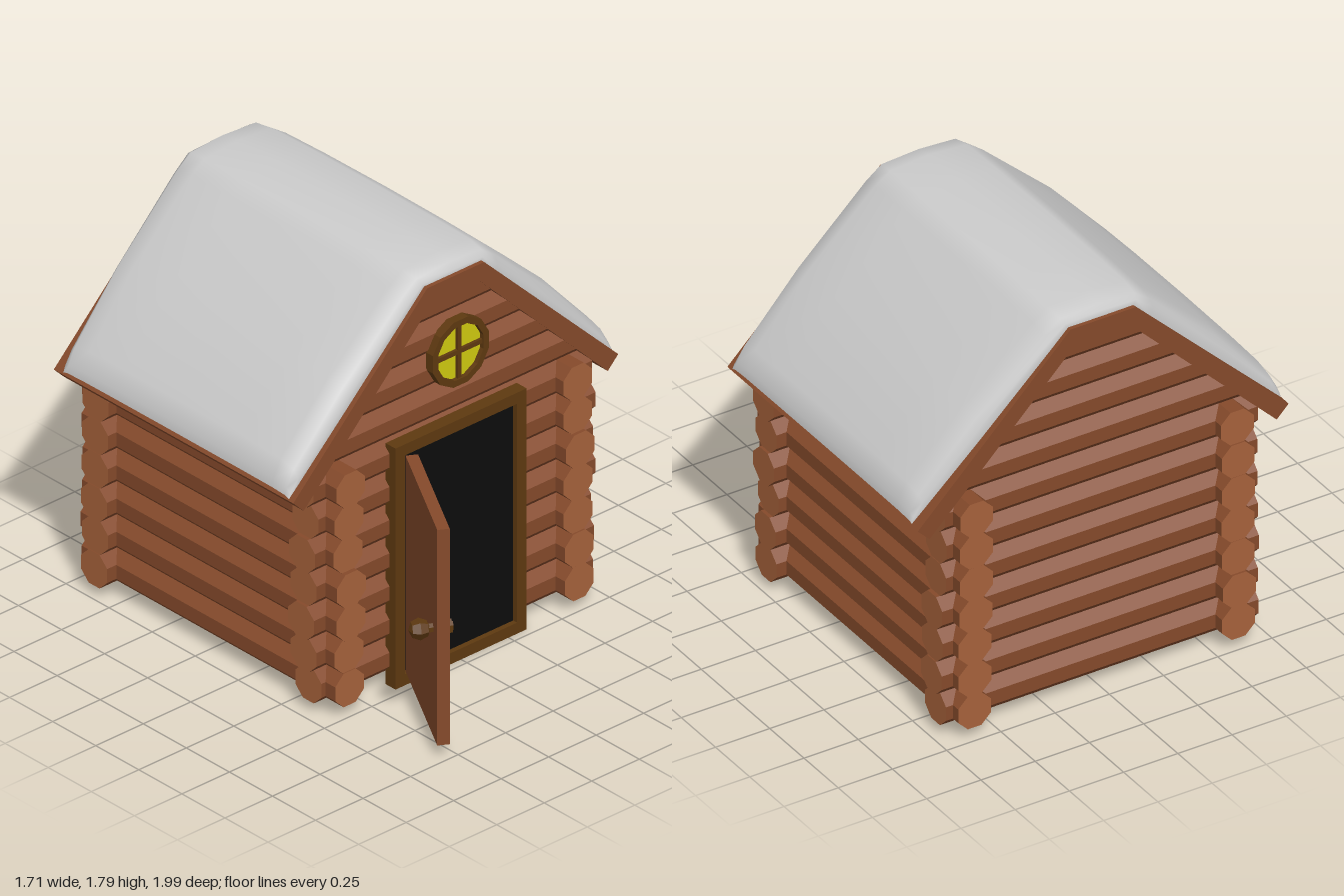
import * as THREE from 'three';

const mat = (color, extra = {}) => new THREE.MeshStandardMaterial({ color, ...extra });
const wood = mat(0x854a2b, { flatShading: true });
const endGrain = mat(0xa6623b, { flatShading: true });
const darkWood = mat(0x5e3910, { flatShading: true });
const black = mat(0x0d0d0d);
const glass = mat(0xd0ca10);
const snowMat = mat(0xcccccc, { side: THREE.DoubleSide });

const LOG_R = 0.082, FRONT_Z = 0.355, BACK_Z = -0.86, SIDE_X = 0.605;

function add(parent, name, geo, material, x = 0, y = 0, z = 0) {
  const m = new THREE.Mesh(geo, material);
  m.name = name;
  m.position.set(x, y, z);
  parent.add(m);
  return m;
}

const box = (w, h, d) => new THREE.BoxGeometry(w, h, d);

// Octagonal log with a flat face up, lying along x
function logGeometry(length) {
  return new THREE.CylinderGeometry(LOG_R, LOG_R, length, 8).rotateY(Math.PI / 8).rotateZ(Math.PI / 2);
}

// Repeatable small variation in log length
let seed = 7;
function jitter(amount) {
  seed = (seed * 16807) % 2147483647;
  return (seed / 2147483647 - 0.5) * 2 * amount;
}

function polygon(points) {
  return new THREE.Shape(points.map(([x, y]) => new THREE.Vector2(x, y)));
}

function extrude(shape, depth) {
  return new THREE.ExtrudeGeometry(shape, { depth, bevelEnabled: false, curveSegments: 6 });
}

function createWalls() {
  const g = new THREE.Group();
  g.name = 'logWalls';
  const mats = [wood, endGrain, endGrain];
  for (let row = 0; row < 7; row++) {
    const y = 0.12 + row * 0.15;
    for (const z of [FRONT_Z, BACK_Z]) {
      add(g, 'crossLog', logGeometry(1.45 + jitter(0.02)), mats, jitter(0.014), y, z);
    }
    for (const s of [-1, 1]) {
      const side = logGeometry(1.465 + jitter(0.015)).rotateY(Math.PI / 2);
      add(g, 'sideLog', side, mats, s * SIDE_X, y, -0.25 + jitter(0.01));
    }
  }
  // Gable logs, their ends cut along the roof slope
  for (let row = 0; row < 4; row++) {
    const y = 1.17 + row * 0.15;
    const geo = logGeometry(2);
    const p = geo.attributes.position;
    for (let i = 0; i < p.count; i++) {
      p.setX(i, Math.sign(p.getX(i)) * (1.795 - y - p.getY(i)));
    }
    for (const z of [FRONT_Z, BACK_Z]) add(g, 'gableLog', geo, wood, 0, y, z);
  }
  return g;
}

function createRoof() {
  const g = new THREE.Group();
  g.name = 'roof';
  const shape = polygon([
    [-0.855, 1.03], [-0.8, 0.975], [-0.125, 1.65], [0.125, 1.65],
    [0.8, 0.975], [0.855, 1.03], [0.15, 1.725], [-0.15, 1.725],
  ]);
  add(g, 'roofBoards', extrude(shape, 1.39), wood, 0, 0, -0.955);

  // Snow blanket: [roof x, roof y, snow x, snow y] from ridge to eave
  const half = [
    [0, 1.72, 0, 1.79], [0.15, 1.72, 0.18, 1.775], [0.23, 1.645, 0.25, 1.73],
    [0.55, 1.33, 0.56, 1.45], [0.8, 1.08, 0.81, 1.17], [0.84, 1.04, 0.846, 1.09], [0.85, 1.03, 0.852, 1.05],
  ];
  const profile = [
    ...half.slice(1).reverse().map(([a, b, c, d]) => [-a, b, -c, d]), ...half,
  ];
  // Sections along the ridge: [z, snow depth]
  const rows = [
    [0.417, 0], [0.417, 0.3], [0.395, 0.68], [0.32, 0.9], [0.1, 0.97], [-0.25, 1],
    [-0.6, 0.97], [-0.83, 0.9], [-0.915, 0.72], [-0.938, 0.45], [-0.938, 0],
  ];
  const pos = [], idx = [], n = profile.length;
  rows.forEach(([z, f], j) => {
    profile.forEach(([x0, y0, x1, y1], i) => {
      const pull = (z < -0.8 ? 0.035 : z > 0.3 ? -0.012 : 0) * (x0 / 0.85) ** 2;
      pos.push(x0 + (x1 - x0) * f, y0 + (y1 - y0) * f, z + pull);
      if (j < rows.length - 1 && i < n - 1) {
        const a = j * n + i, c = a + n;
        idx.push(a, a + 1, c, a + 1, c + 1, c);
      }
    });
  });
  const snow = new THREE.BufferGeometry();
  snow.setAttribute('position', new THREE.Float32BufferAttribute(pos, 3));
  snow.setIndex(idx);
  snow.computeVertexNormals();
  add(g, 'snow', snow, snowMat);
  return g;
}

function createDoorway() {
  const g = new THREE.Group();
  g.name = 'doorway';
  const frame = polygon([[-0.345, 0], [0.345, 0], [0.345, 1.09], [-0.345, 1.09]]);
  frame.holes.push(polygon([[-0.295, 0.05], [-0.295, 1.04], [0.295, 1.04], [0.295, 0.05]]));
  add(g, 'doorFrame', extrude(frame, 0.058), darkWood, 0, 0, 0.408);
  add(g, 'darkOpening', box(0.6, 1, 0.01), black, 0, 0.545, 0.438);

  // Open door, pivoting on its hinge edge; local +z is the outside
  const door = new THREE.Group();
  door.name = 'door';
  door.position.set(-0.2675, 0, 0.475);
  door.rotation.y = -Math.PI * 2 / 3;
  add(door, 'doorPanel', box(0.585, 0.975, 0.05), wood, 0.2925, 0.5475, 0);
  const stem = new THREE.CylinderGeometry(0.02, 0.02, 0.13, 6).rotateX(Math.PI / 2);
  add(door, 'knobStem', stem, darkWood, 0.5, 0.545, 0.01);
  const knob = new THREE.SphereGeometry(0.045, 6, 4).rotateX(Math.PI / 2);
  add(door, 'outerKnob', knob, darkWood, 0.5, 0.545, 0.078);
  const inner = new THREE.CylinderGeometry(0.032, 0.032, 0.025, 6).rotateX(Math.PI / 2);
  add(door, 'innerKnob', inner, darkWood, 0.5, 0.545, -0.037);
  g.add(door);
  return g;
}

function createWindow() {
  const g = new THREE.Group();
  g.name = 'roundWindow';
  g.position.set(0, 1.39, 0.425);
  const ring = (r) => Array.from({ length: 12 }, (_, i) => {
    const a = (i + 0.5) * Math.PI / 6;
    return [r * Math.cos(a), r * Math.sin(a)];
  });
  const frame = polygon(ring(0.152));
  frame.holes.push(polygon(ring(0.123).reverse()));
  add(g, 'windowFrame', extrude(frame, 0.04), darkWood);
  add(g, 'windowPane', extrude(polygon(ring(0.126)), 0.02), glass);
  add(g, 'windowBar', box(0.25, 0.02, 0.03), darkWood, 0, 0, 0.018);
  add(g, 'windowBar', box(0.02, 0.25, 0.03), darkWood, 0, 0, 0.018);
  return g;
}

export function createModel() {
  const model = new THREE.Group();
  model.name = 'logCabin';
  model.add(createWalls(), createRoof(), createDoorway(), createWindow());
  return model;
}
